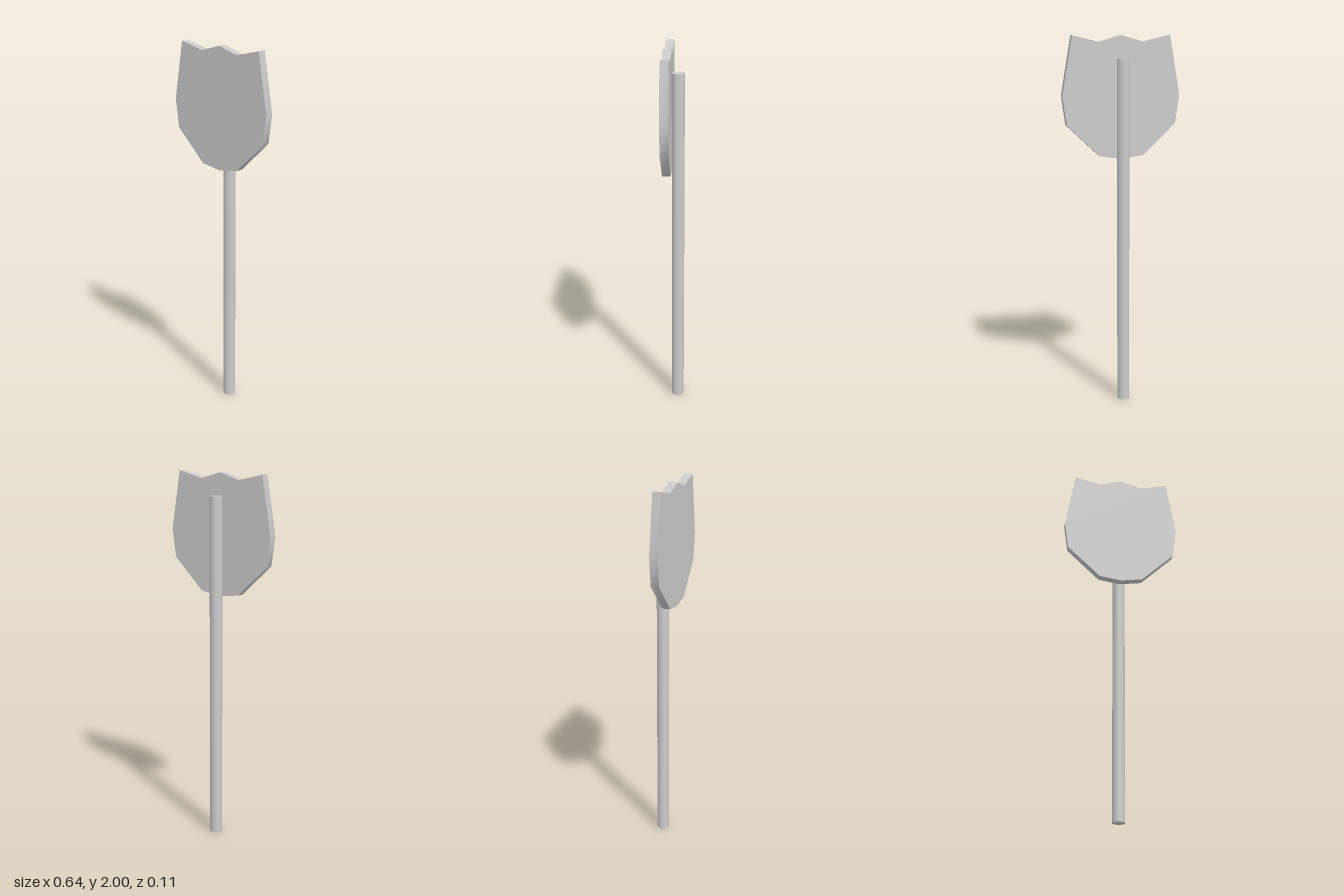
import * as THREE from 'three';
import { toCreasedNormals } from 'three/addons/utils/BufferGeometryUtils.js';

export function createModel() {
  const model = new THREE.Group();
  const material = new THREE.MeshStandardMaterial({ color: 0xcccccc });

  function add(name, geometry, x, y, z) {
    const mesh = new THREE.Mesh(geometry, material);
    mesh.name = name;
    mesh.position.set(x, y, z);
    model.add(mesh);
  }

  // Round pole standing behind the sign
  const poleHeight = 1.88;
  add('pole', new THREE.CylinderGeometry(0.034, 0.034, poleHeight, 12), 0, poleHeight / 2, -0.024);

  // Shield-shaped sign plate: left half from bottom to top, mirrored to the right
  const half = [[0.12, 1.363], [0.298, 1.531], [0.32, 1.685], [0.266, 2], [0.12, 1.965]];
  const outline = [
    [0, 1.345],
    ...half,
    [0, 2],
    ...half.map(([x, y]) => [-x, y]).reverse(),
  ];
  const shape = new THREE.Shape(outline.map(([x, y]) => new THREE.Vector2(x, y)));
  const plate = new THREE.ExtrudeGeometry(shape, { depth: 0.045, bevelEnabled: false });
  add('signPlate', toCreasedNormals(plate, 0.75), 0, 0, 0.01);

  return model;
}
